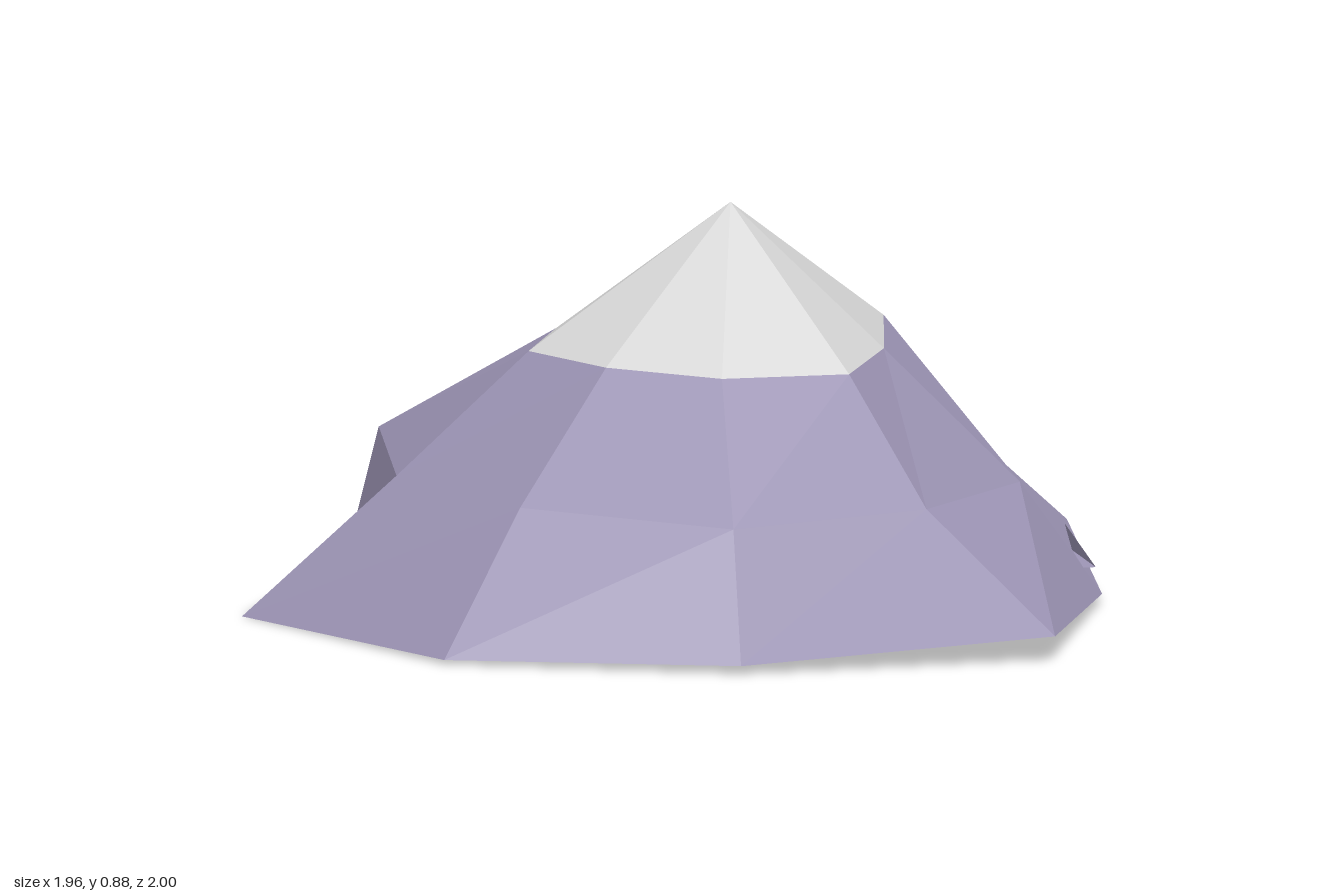
import * as THREE from 'three';

// Nine ridges; each ring lists [x, y, z] from the back, round by the left side
const foot = [[0.19, 0.02, -1], [0.85, 0.09, -0.78], [0.98, 0.07, -0.09], [0.7, 0.02, 0.47], [0.22, 0.06, 1],
  [-0.44, 0.02, 0.73], [-0.92, 0.01, 0.26], [-0.98, 0, -0.46], [-0.42, 0.01, -0.88]];
const shoulder = [[0.17, 0.32, -0.88], [0.65, 0.32, -0.61], [0.69, 0.32, -0.09], [0.56, 0.27, 0.35], [0.15, 0.29, 0.59],
  [-0.34, 0.29, 0.55], [-0.65, 0.31, 0.16], [-0.64, 0.3, -0.35], [-0.38, 0.31, -0.81]];
const snowLine = [[0.11, 0.58, -0.52], [0.4, 0.58, -0.41], [0.49, 0.585, -0.09], [0.33, 0.565, 0.15], [0.11, 0.56, 0.34],
  [-0.17, 0.565, 0.25], [-0.34, 0.575, 0.04], [-0.36, 0.57, -0.24], [-0.16, 0.57, -0.43]];
const apex = [0.08, 0.885, -0.09];
const underCentre = [0.08, 0.02, -0.09];

function facets(name, triangles, material) {
  const geometry = new THREE.BufferGeometry();
  geometry.setAttribute('position', new THREE.Float32BufferAttribute(triangles.flat(2), 3));
  geometry.computeVertexNormals();
  const mesh = new THREE.Mesh(geometry, material);
  mesh.name = name;
  return mesh;
}

// Band of facets between two rings
function band(low, high) {
  return low.flatMap((p, i) => {
    const j = (i + 1) % low.length;
    return [[low[j], p, high[i]], [low[j], high[i], high[j]]];
  });
}

// Facets from a ring to one point
function fan(ring, tip, down = false) {
  return ring.map((p, i) => {
    const q = ring[(i + 1) % ring.length];
    return down ? [tip, p, q] : [q, p, tip];
  });
}

export function createModel() {
  const rock = new THREE.MeshStandardMaterial({ color: 0x9b93b3, flatShading: true });
  rock.name = 'purple rock';
  const snow = new THREE.MeshStandardMaterial({ color: 0xd6d6d6, flatShading: true });
  snow.name = 'pale snow';

  const group = new THREE.Group();
  group.name = 'mountain';
  group.add(
    facets('lowerSlope', band(foot, shoulder), rock),
    facets('upperSlope', band(shoulder, snowLine), rock),
    facets('snowCap', fan(snowLine, apex), snow),
    facets('underside', fan(foot, underCentre, true), rock),
  );

  // Small rock sliver sticking out near the foot of the front left slope
  const a = [0.65, 0.085, 0.47], b = [0.69, 0.08, 0.46], c = [0.7, 0.1, 0.35], d = [0.66, 0.17, 0.38];
  group.add(facets('rockSliver', [[a, b, c], [a, c, d], [b, a, d], [c, b, d]], rock));

  // Pale patch under the peak
  const patch = [[0.06, 0.012, -0.13], [0.13, 0.012, -0.12], [0.14, 0.012, -0.02], [0.08, 0.012, -0.03]];
  group.add(facets('undersidePatch', fan(patch, [0.1, 0.012, -0.08], true), snow));
  return group;
}
